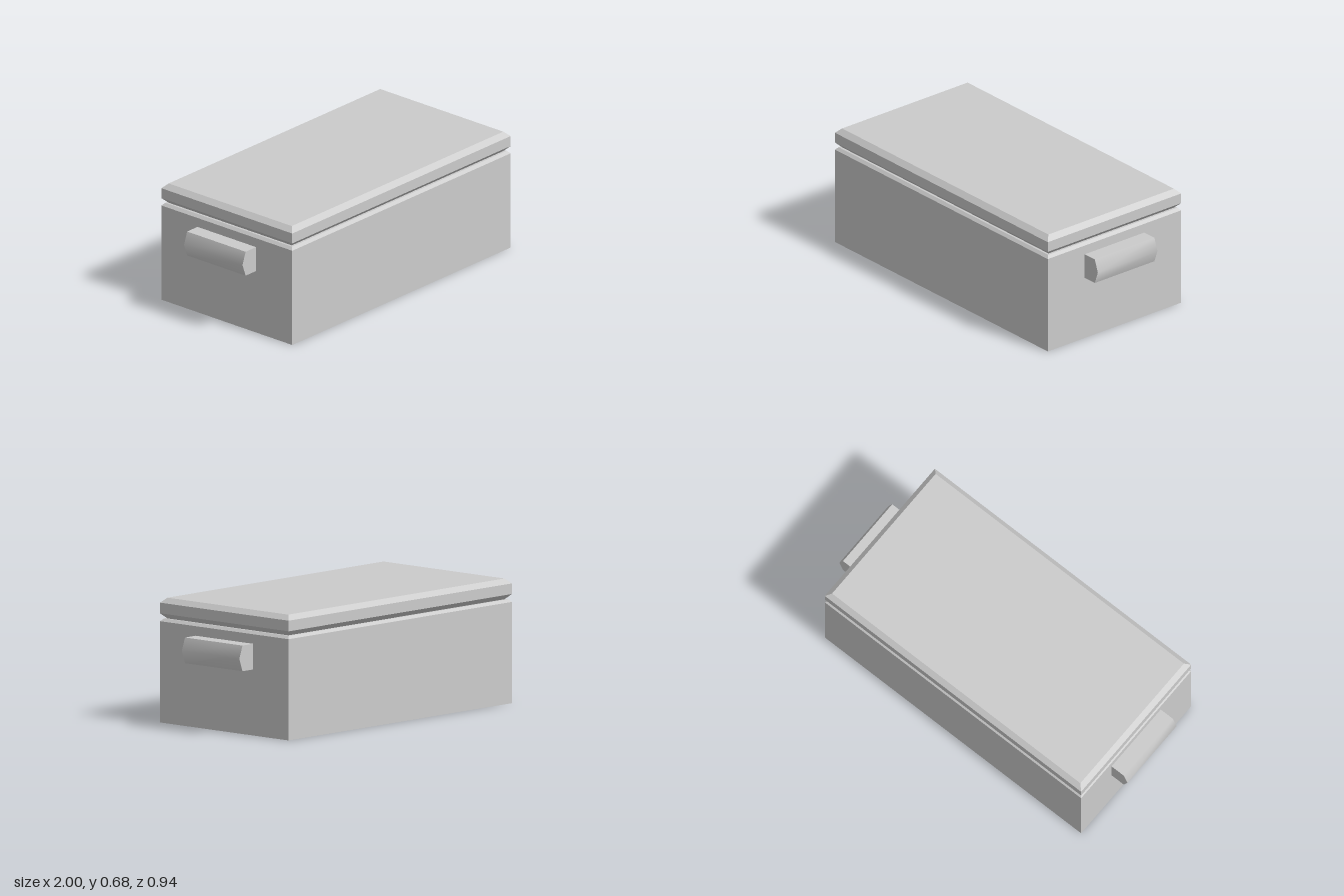
import * as THREE from 'three';
import { ConvexGeometry } from 'three/addons/geometries/ConvexGeometry.js';
import { toCreasedNormals } from 'three/addons/utils/BufferGeometryUtils.js';

const HALF_X = 0.89, HALF_Z = 0.47;

// Solid block from rectangular sections, each given as [height, inset from the full outline]
function chamferedBlock(sections) {
  const points = [];
  for (const [y, inset] of sections)
    for (const sx of [-1, 1])
      for (const sz of [-1, 1])
        points.push(new THREE.Vector3(sx * (HALF_X - inset), y, sz * (HALF_Z - inset)));
  return new ConvexGeometry(points);
}

// Bar with a softly ridged outer face, extruded along z
function handleGeometry() {
  const profile = new THREE.Shape([
    [0.89, 0.36], [0.975, 0.36], [1.0, 0.43], [0.975, 0.5], [0.89, 0.5],
  ].map(([x, y]) => new THREE.Vector2(x, y)));
  const bar = new THREE.ExtrudeGeometry(profile, { depth: 0.42, bevelEnabled: false });
  bar.translate(0, 0, -0.21);
  return toCreasedNormals(bar, THREE.MathUtils.degToRad(50));
}

export function createModel() {
  const model = new THREE.Group();
  model.name = 'chest';
  const material = new THREE.MeshStandardMaterial({ color: 0xcccccc });

  const add = (name, geometry) => {
    const mesh = new THREE.Mesh(geometry, material);
    mesh.name = name;
    model.add(mesh);
    return mesh;
  };

  // Box with a small chamfer around its rim
  add('body', chamferedBlock([[0, 0], [0.552, 0], [0.567, 0.015]]));

  // Lid chamfered above and below, leaving a groove over the box
  add('lid', chamferedBlock([[0.567, 0.028], [0.595, 0], [0.653, 0], [0.68, 0.028]]));

  // Side handles, the right one turned half round
  const handle = handleGeometry();
  add('leftHandle', handle);
  add('rightHandle', handle).rotation.y = Math.PI;

  return model;
}
